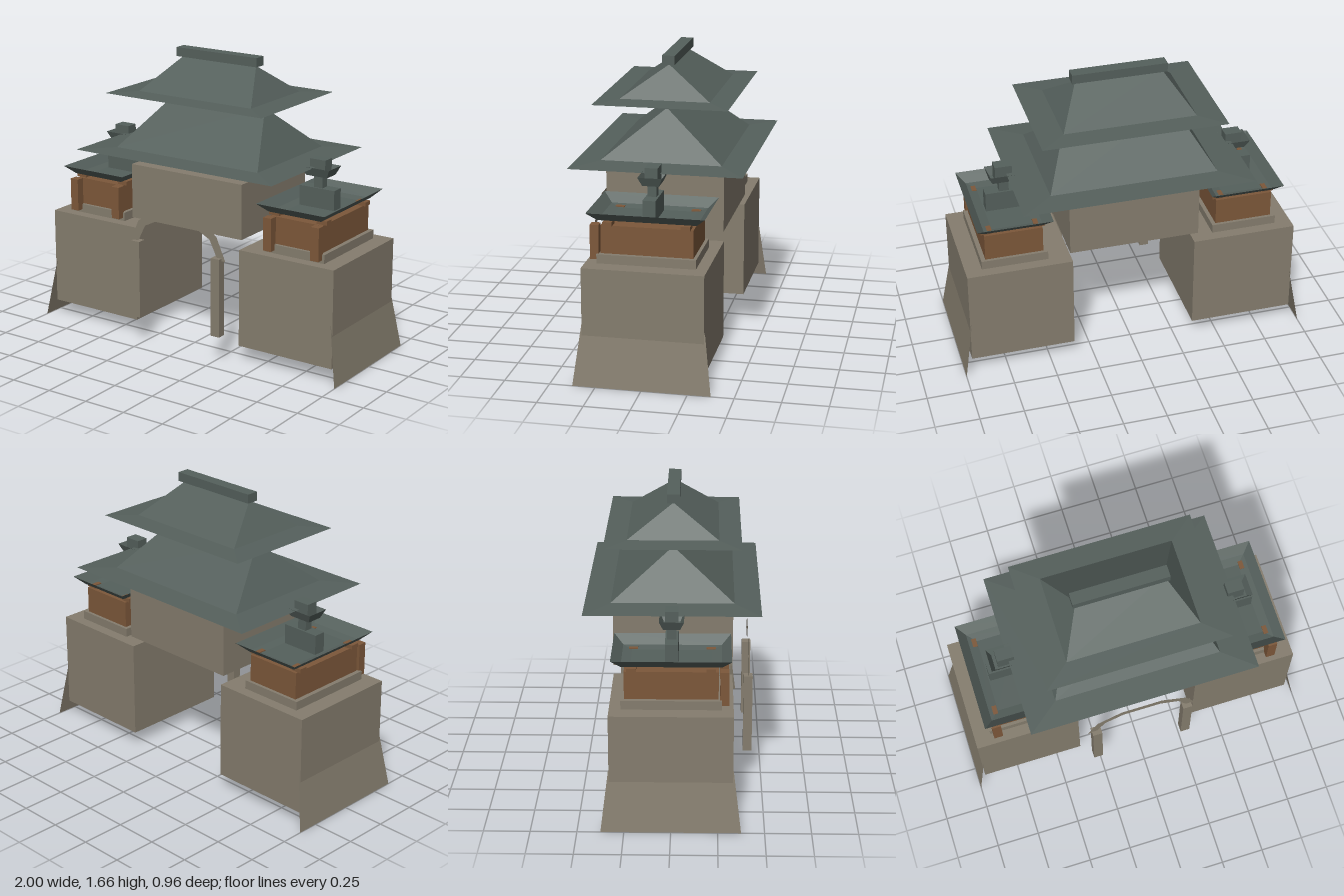
import * as THREE from 'three';

const mat = (name, color) => {
  const m = new THREE.MeshStandardMaterial({ color, side: THREE.DoubleSide, flatShading: true });
  m.name = name;
  return m;
};

export function createModel() {
  const stone = mat('stone', 0x857d6e);
  const wood = mat('wood', 0x7d583a);
  const slate = mat('slate', 0x55605c);

  const model = new THREE.Group();
  model.name = 'gatehouse';

  const add = (parent, name, geometry, material) => {
    const mesh = new THREE.Mesh(geometry, material);
    mesh.name = name;
    parent.add(mesh);
    return mesh;
  };

  // Box given by its limits; an open box has no bottom face
  const box = (parent, name, material, [x0, x1], [y0, y1], [z0, z1], open = false) => {
    const g = new THREE.BoxGeometry(x1 - x0, y1 - y0, z1 - z0);
    if (open) {
      g.setIndex(Array.from(g.index.array).filter((_, i) => i < 18 || i > 23));
      g.clearGroups();
    }
    g.translate((x0 + x1) / 2, (y0 + y1) / 2, (z0 + z1) / 2);
    return add(parent, name, g, material);
  };

  // Skin through rectangles [halfX, halfZ, y], listed from one end to the other
  const loft = (parent, name, material, rings, cx = 0) => {
    const corners = rings.map(([hx, hz, y]) =>
      [[1, 1], [1, -1], [-1, -1], [-1, 1]].map(([sx, sz]) => [cx + sx * hx, y, sz * hz]));
    const p = [];
    for (let r = 0; r + 1 < rings.length; r++) {
      for (let i = 0; i < 4; i++) {
        const j = (i + 1) % 4;
        const [a, b, c, d] = [corners[r][i], corners[r][j], corners[r + 1][j], corners[r + 1][i]];
        p.push(...a, ...b, ...c, ...a, ...c, ...d);
      }
    }
    const g = new THREE.BufferGeometry();
    g.setAttribute('position', new THREE.Float32BufferAttribute(p, 3));
    g.computeVertexNormals();
    return add(parent, name, g, material);
  };

  // Central hall with two tiers of hipped roof
  box(model, 'hall', stone, [-0.375, 0.37], [0.71, 1.025], [-0.33, 0.33], true);
  loft(model, 'lowerRoof', slate, [[0.655, 0.478, 1.1], [0.475, 0.335, 1.11], [0.305, 0, 1.378]]);
  box(model, 'lowerRidge', slate, [-0.34, 0.34], [1.38, 1.425], [-0.035, 0.035]);
  loft(model, 'upperRoof', slate, [[0.52, 0.372, 1.425], [0.375, 0.25, 1.433], [0.245, 0, 1.607]]);
  box(model, 'upperRidge', slate, [-0.27, 0.27], [1.608, 1.66], [-0.035, 0.035]);

  // Flat arch band in front of the passage
  const outer = [[-0.325, 0.6], [-0.265, 0.735], [-0.12, 0.815]];
  const inner = [[-0.275, 0.6], [-0.22, 0.71], [-0.11, 0.765]];
  const mirror = (pts) => pts.map(([x, y]) => [-x, y]).reverse();
  const outline = [...outer, ...mirror(outer), ...inner.map(([x, y]) => [-x, y]), ...inner.slice().reverse()];
  const arch = new THREE.Shape(outline.map(([x, y]) => new THREE.Vector2(x, y)));
  add(model, 'arch', new THREE.ShapeGeometry(arch), stone).position.z = 0.42;

  // The two wings mirror each other
  for (const s of [1, -1]) {
    const wing = new THREE.Group();
    wing.name = s > 0 ? 'leftWing' : 'rightWing';
    model.add(wing);
    const wbox = (name, material, [x0, x1], y, z, open) =>
      box(wing, name, material, s > 0 ? [x0, x1] : [-x1, -x0], y, z, open);

    // Stone mass, arch post and flared outer footing
    wbox('tower', stone, [0.355, 0.955], [0.087, 0.65], [-0.33, 0.33], true);
    wbox('archPost', stone, [0.245, 0.3], [0.16, 0.615], [0.395, 0.445]);
    const flare = new THREE.BufferGeometry();
    const [a, b, c, d] = [[s, 0, 0.375], [s, 0, -0.375], [s * 0.945, 0.335, -0.333], [s * 0.945, 0.335, 0.333]];
    const quad = s > 0 ? [a, b, c, a, c, d] : [a, c, b, a, d, c];
    flare.setAttribute('position', new THREE.Float32BufferAttribute(quad.flat(), 3));
    flare.computeVertexNormals();
    add(wing, 'footing', flare, stone);

    // Timber pavilion on a stone plinth
    wbox('plinth', stone, [0.482, 0.86], [0.65, 0.7], [-0.268, 0.268]);
    wbox('pavilion', wood, [0.505, 0.835], [0.7, 0.855], [-0.25, 0.25]);
    for (const x of [0.52, 0.82]) {
      wbox('frontPost', wood, [x - 0.026, x + 0.026], [0.668, 0.857], [0.258, 0.306]);
      for (const z of [-0.21, 0.21]) {
        wbox('bracket', wood, [x - 0.032, x + 0.032], [0.855, 0.878], [z - 0.025, z + 0.025]);
      }
    }

    // Upturned dish roof with ridge and finial
    const cx = s * 0.67;
    loft(wing, 'wingRoof', slate,
      [[0, 0, 0.872], [0.115, 0.217, 0.872], [0.165, 0.267, 0.882], [0.214, 0.318, 0.93]], cx);
    wbox('wingRidge', slate, [0.557, 0.778], [0.872, 0.985], [-0.035, 0.035]);
    wbox('finialNeck', slate, [0.642, 0.697], [0.985, 1.055], [-0.024, 0.024]);
    loft(wing, 'finialDish', slate, [[0, 0, 1.053], [0.066, 0.045, 1.053], [0.09, 0.066, 1.103]], cx);
    wbox('finialCap', slate, [0.622, 0.718], [1.054, 1.147], [-0.035, 0.035]);
  }
  return model;
}
